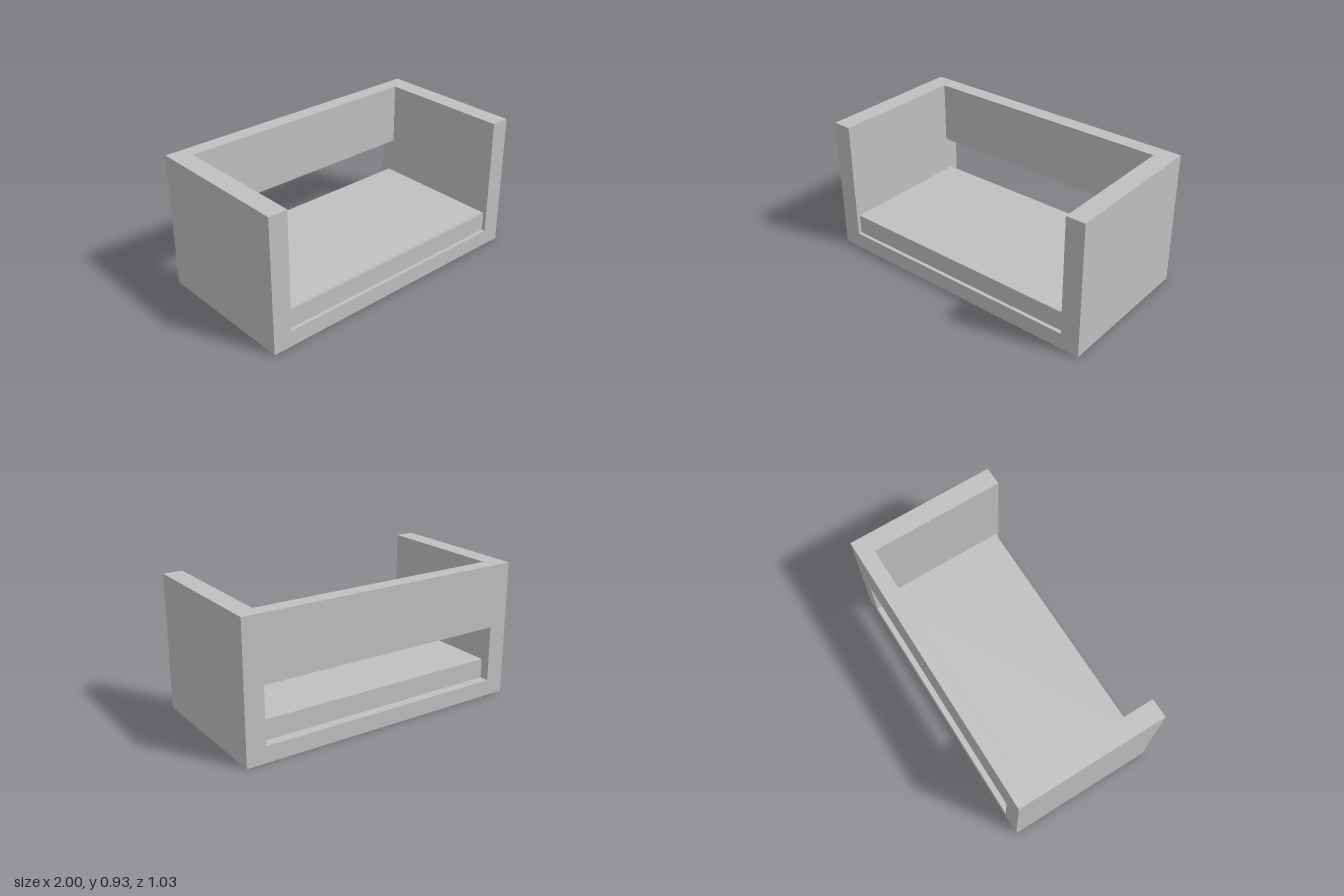
import * as THREE from 'three';

const HEIGHT = 0.925, DEPTH = 1.03, INNER = 0.87, FLOOR = 0.11;

export function createModel() {
  const model = new THREE.Group();
  const grey = new THREE.MeshStandardMaterial({ color: 0xc0c0c0 });
  grey.name = 'grey';

  const add = (name, geometry) => {
    const mesh = new THREE.Mesh(geometry, grey);
    mesh.name = name;
    model.add(mesh);
  };

  // Box given by its lower and upper limits on y and z, spanning between the arms
  const span = (y0, y1, z0, z1) =>
    new THREE.BoxGeometry(2 * INNER, y1 - y0, z1 - z0)
      .translate(0, (y0 + y1) / 2, (z0 + z1) / 2);

  // Base and both arms: one U-shaped section running front to back
  const section = new THREE.Shape([
    [-1, 0], [1, 0], [1, HEIGHT], [INNER, HEIGHT],
    [INNER, FLOOR], [-INNER, FLOOR], [-INNER, HEIGHT], [-1, HEIGHT],
  ].map(([x, y]) => new THREE.Vector2(x, y)));
  add('baseAndArms', new THREE.ExtrudeGeometry(section, { depth: DEPTH, bevelEnabled: false })
    .translate(0, 0, -DEPTH / 2));

  // Backrest, leaving an open slot below it
  add('backrest', span(0.495, HEIGHT, -DEPTH / 2, -0.41));

  // Seat cushion, set back slightly from the front edge
  add('seatCushion', span(FLOOR, 0.245, -0.45, 0.49));

  return model;
}
